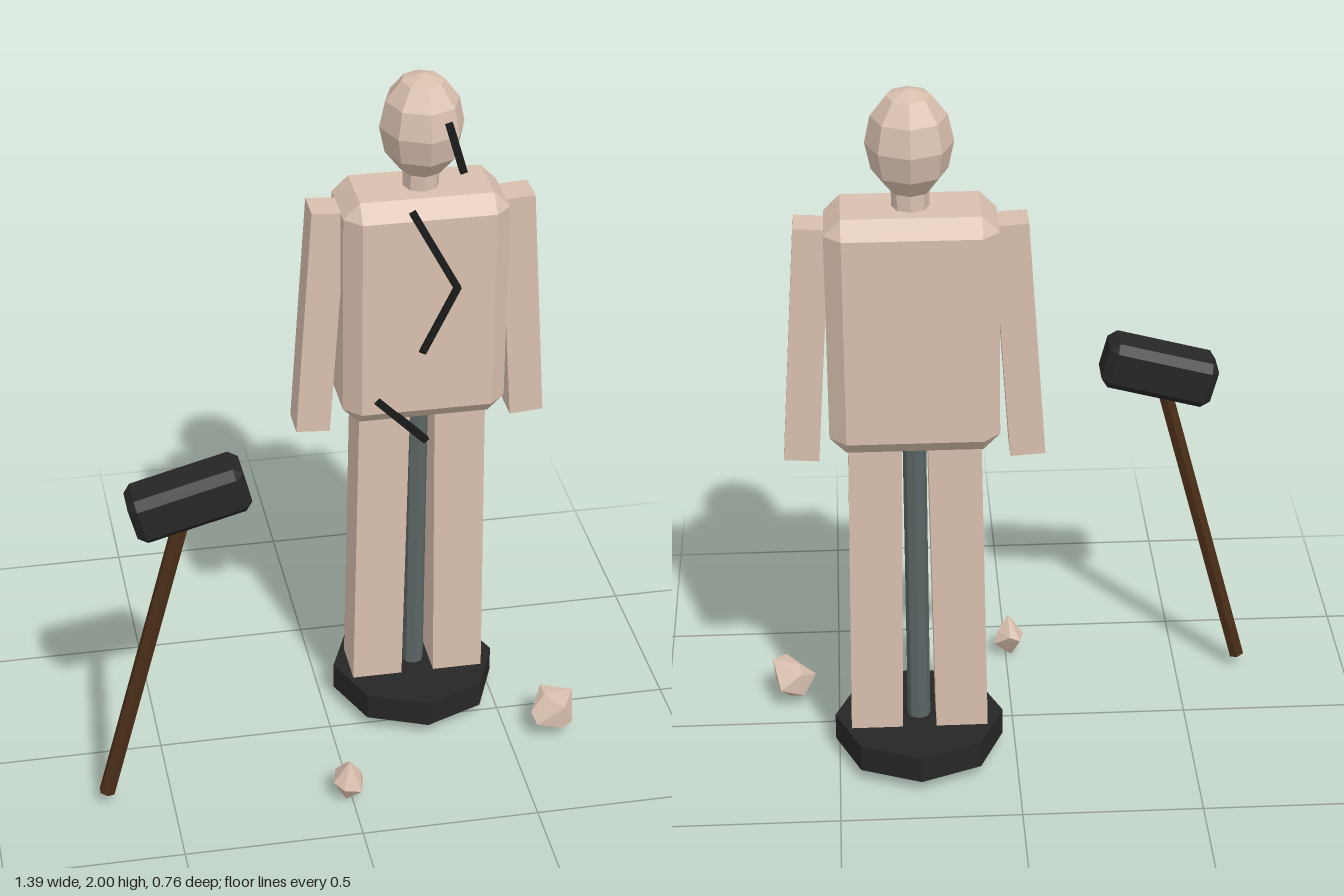
import * as THREE from 'three';
import { ConvexGeometry } from 'three/addons/geometries/ConvexGeometry.js';

const mat = (name, color) => {
  const m = new THREE.MeshStandardMaterial({ color, flatShading: true });
  m.name = name;
  return m;
};

// Box with a single flat bevel on every edge
function chamferBox(w, h, d, c) {
  const pts = [];
  for (const x of [-1, 1]) for (const y of [-1, 1]) for (const z of [-1, 1]) {
    const X = x * w / 2, Y = y * h / 2, Z = z * d / 2;
    pts.push(new THREE.Vector3(X, Y - y * c, Z - z * c));
    pts.push(new THREE.Vector3(X - x * c, Y, Z - z * c));
    pts.push(new THREE.Vector3(X - x * c, Y - y * c, Z));
  }
  return new ConvexGeometry(pts);
}

export function createModel() {
  const root = new THREE.Group();
  root.name = 'crackedMannequinWithMallet';

  const plaster = mat('plaster', 0xd8bfae);
  const black = mat('blackIron', 0x262626);
  const crackMat = mat('crack', 0x1a1a1a);
  const wood = mat('darkWood', 0x4a2e18);
  const steel = mat('steel', 0x5a6464);

  const add = (name, geo, m, x, y, z, parent = root) => {
    const mesh = new THREE.Mesh(geo, m);
    mesh.name = name;
    mesh.position.set(x, y, z);
    parent.add(mesh);
    return mesh;
  };

  // Mannequin, built around its own axis
  const figure = new THREE.Group();
  figure.name = 'mannequin';
  figure.position.set(0.273, 0, -0.143);
  root.add(figure);

  add('base', new THREE.CylinderGeometry(0.237, 0.237, 0.078, 8), black, 0, 0.079, 0, figure);
  add('supportPole', new THREE.CylinderGeometry(0.032, 0.032, 0.95, 8), steel, 0, 0.58, 0, figure);
  add('torso', chamferBox(0.456, 0.675, 0.262, 0.045), plaster, 0, 1.338, 0, figure);
  add('neck', new THREE.CylinderGeometry(0.05, 0.05, 0.12, 8), plaster, 0, 1.7, 0, figure);
  add('head', new THREE.SphereGeometry(1, 8, 6), plaster, 0, 1.853, 0, figure)
    .scale.set(0.116, 0.147, 0.13);

  for (const [side, s] of [['left', 1], ['right', -1]]) {
    add(side + 'Arm', new THREE.BoxGeometry(0.095, 0.675, 0.097), plaster, s * 0.282, 1.297, 0, figure)
      .rotation.z = s * 0.067;
    add(side + 'Leg', new THREE.BoxGeometry(0.144, 0.92, 0.146), plaster, s * 0.113, 0.57, 0, figure)
      .rotation.z = s * 0.014;
  }

  // Cracks: thin bars between two points on the front
  const cracks = [
    [0.224, 1.657, 0.351, 1.42, -0.012],
    [0.351, 1.425, 0.256, 1.23, -0.012],
    [0.132, 1.09, 0.272, 0.948, -0.012],
    [0.321, 1.9, 0.363, 1.757, -0.028],
  ];
  cracks.forEach(([x1, y1, x2, y2, z], i) => {
    const len = Math.hypot(x2 - x1, y2 - y1);
    add('crack' + (i + 1), new THREE.BoxGeometry(len, 0.02, 0.016), crackMat,
      (x1 + x2) / 2, (y1 + y2) / 2, z).rotation.z = Math.atan2(y2 - y1, x2 - x1);
  });

  // Leaning mallet, tilted as one piece
  const mallet = new THREE.Group();
  mallet.name = 'mallet';
  mallet.position.set(-0.43, 0.997, 0.237);
  mallet.rotation.z = -0.26;
  root.add(mallet);
  add('malletHandle', new THREE.CylinderGeometry(0.023, 0.023, 0.985, 6), wood, 0, -0.4925, 0, mallet);
  // The head sits square to the world tilt of the handle
  add('malletHead', chamferBox(0.32, 0.138, 0.138, 0.023), black, 0, 0, 0, mallet)
    .rotation.z = 0.52;

  // Broken fragments on the ground
  const rocks = {
    smallFragment: [
      [-0.008, 0.137, 0.345], [-0.054, 0.07, 0.347], [-0.04, 0.075, 0.292],
      [-0.01, 0.09, 0.288], [0.035, 0.055, 0.315], [0.02, 0.05, 0.377],
      [-0.03, 0.06, 0.377], [-0.017, 0.003, 0.34], [0.025, 0.09, 0.33],
    ],
    largeFragment: [
      [0.69, 0.14, 0.13], [0.667, 0.08, 0.05], [0.611, 0.12, 0.065],
      [0.567, 0.08, 0.14], [0.578, 0.06, 0.177], [0.652, 0.12, 0.19],
      [0.65, 0.05, 0.19], [0.684, 0.05, 0.165], [0.645, 0.02, 0.12],
      [0.6, 0.05, 0.07], [0.61, 0.125, 0.12],
    ],
  };
  for (const [name, pts] of Object.entries(rocks))
    add(name, new ConvexGeometry(pts.map(p => new THREE.Vector3(...p))), plaster, 0, 0, 0);

  return root;
}
